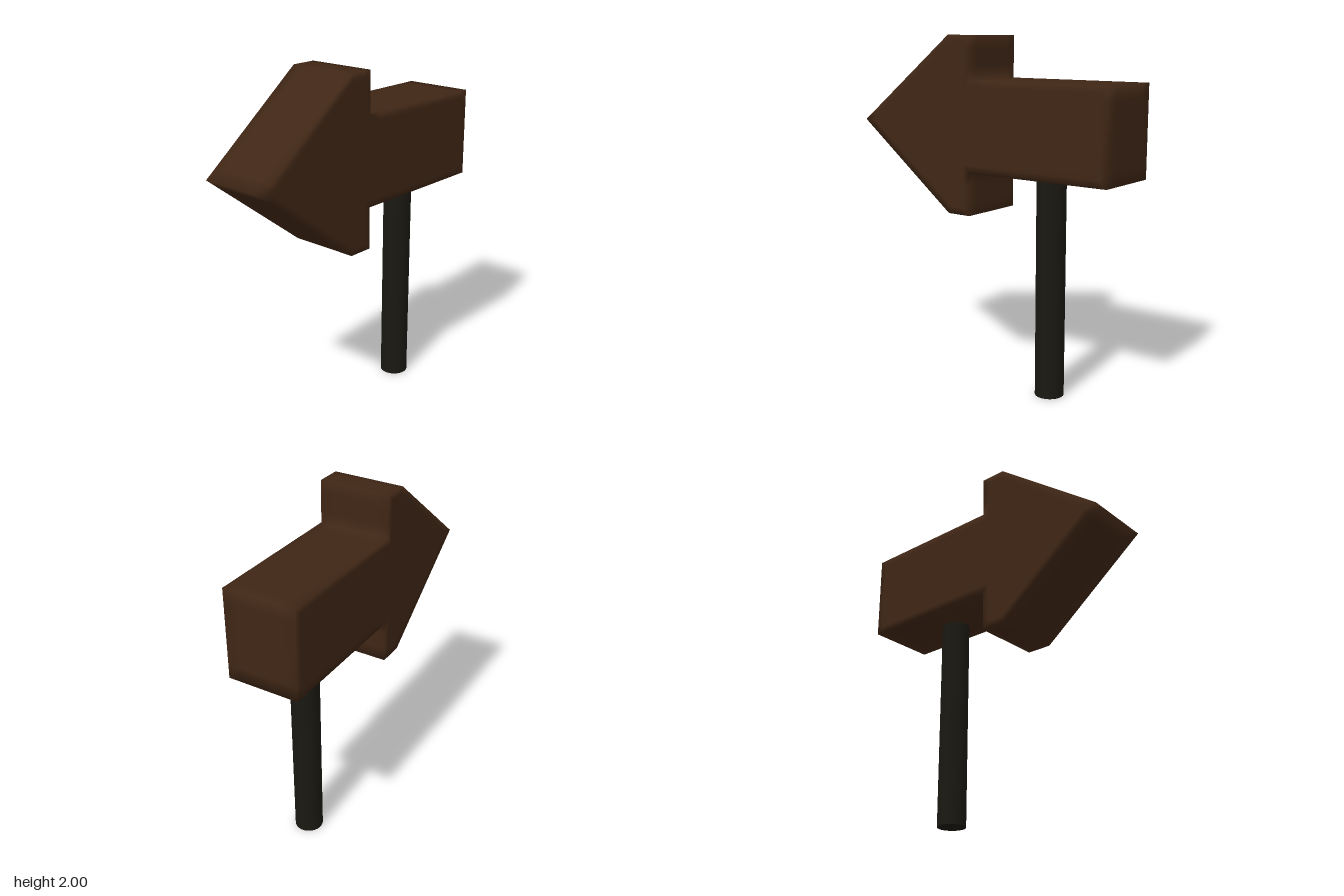
import * as THREE from 'three';
import { mergeVertices } from 'three/addons/utils/BufferGeometryUtils.js';

// Adds support points close to every corner so smooth shading stays near the edges
function withSupports(corners, d) {
  const out = [];
  corners.forEach((a, i) => {
    const b = corners[(i + 1) % corners.length];
    const t = Math.min(d / a.distanceTo(b), 0.3);
    out.push(a, a.clone().lerp(b, t), a.clone().lerp(b, 1 - t));
  });
  return out;
}

export function createModel() {
  const model = new THREE.Group();
  model.name = 'arrowSign';

  // Arrow outline as (z, height above its axis), extruded across the width
  const half = [[0.835, 0], [0.19, 0.5], [0.04, 0.5], [0.04, 0.257], [-0.84, 0.257]];
  const lower = half.slice(1).reverse().map(([z, y]) => [z, -y]);
  const corners = [...half, ...lower].map(([z, y]) => new THREE.Vector2(-z, y));
  const width = 0.415, lip = 0.001;
  let geo = new THREE.ExtrudeGeometry(new THREE.Shape(withSupports(corners, 0.08)), {
    depth: width - 2 * lip, steps: 6,
    bevelEnabled: true, bevelThickness: lip, bevelSize: 0.04, bevelOffset: -0.04, bevelSegments: 1,
  });
  geo.translate(0, 0, lip - width / 2);
  geo.rotateY(Math.PI / 2);

  // Shared vertices give the soft shading over the sharp outline
  geo.deleteAttribute('normal');
  geo.deleteAttribute('uv');
  geo = mergeVertices(geo, 1e-4);
  geo.computeVertexNormals();

  const arrow = new THREE.Mesh(geo, new THREE.MeshStandardMaterial({ color: 0x3f2615 }));
  arrow.name = 'arrowBoard';
  arrow.position.set(-0.002, 1.5, 0);
  arrow.rotation.set(0, -0.0075, 0.005); // slightly crooked
  model.add(arrow);

  // Round post under the tail
  const post = new THREE.Mesh(
    new THREE.CylinderGeometry(0.082, 0.082, 1.26, 32),
    new THREE.MeshStandardMaterial({ color: 0x1a1812 }),
  );
  post.name = 'post';
  post.position.set(0.047, 0.63, -0.403);
  model.add(post);

  return model;
}
